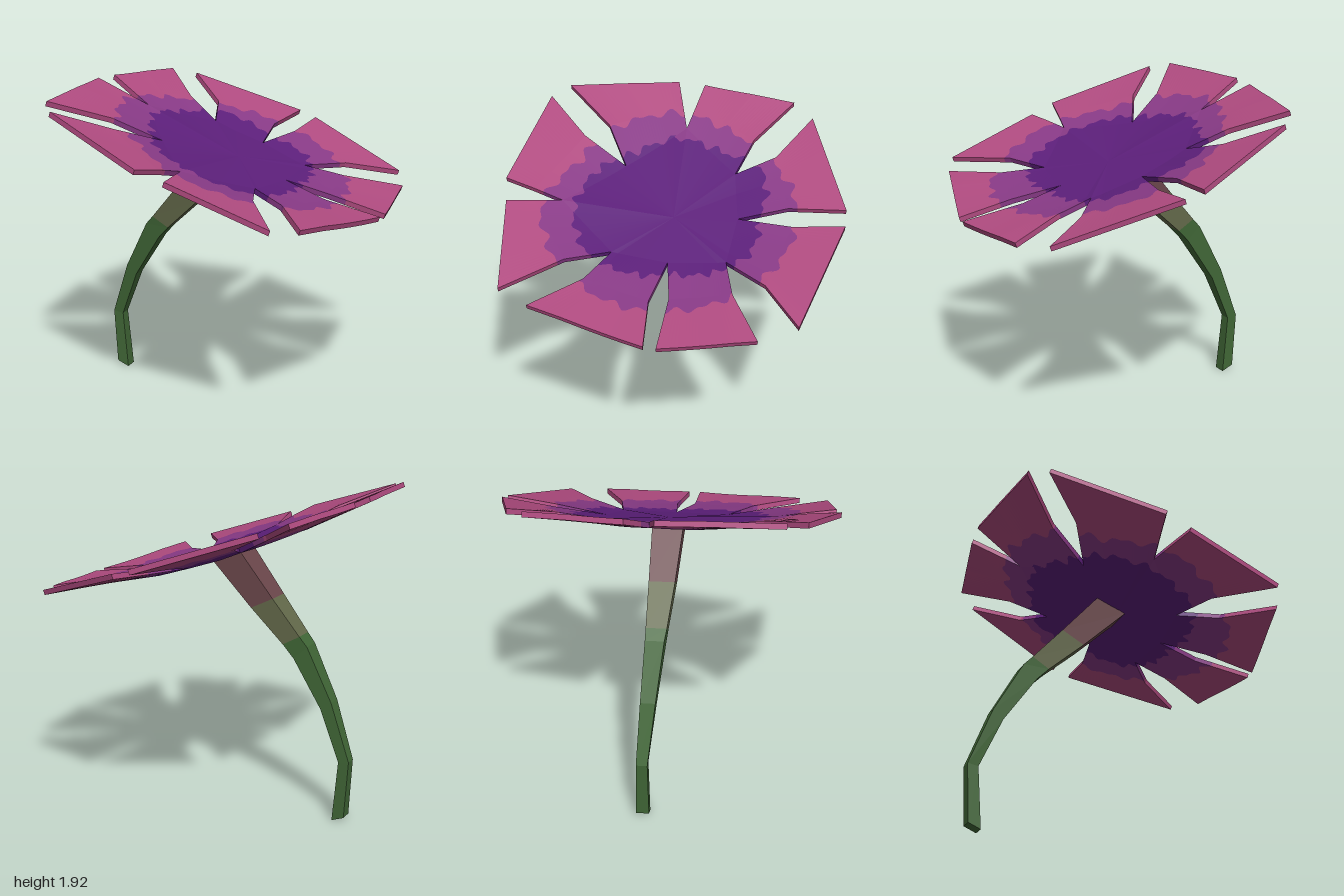
import * as THREE from 'three';

const mat = (name, color) => {
  const m = new THREE.MeshStandardMaterial({ color, flatShading: true });
  m.name = name;
  return m;
};

// Collects quads into a flat-shaded mesh, skipping collapsed triangles
class QuadMesh {
  constructor() { this.positions = []; }
  tri(a, b, c) {
    const n = b.clone().sub(a).cross(c.clone().sub(a));
    if (n.length() < 1e-9) return;
    for (const p of [a, b, c]) this.positions.push(p.x, p.y, p.z);
  }
  quad(a, b, c, d) { this.tri(a, b, c); this.tri(a, c, d); }
  build(name, material) {
    const g = new THREE.BufferGeometry();
    g.setAttribute('position', new THREE.Float32BufferAttribute(this.positions, 3));
    g.computeVertexNormals();
    const mesh = new THREE.Mesh(g, material);
    mesh.name = name;
    return mesh;
  }
}

// Notches between the petals, clockwise from the back, as [x, z]
const NOTCHES = [[0, -0.37], [0.3, -0.31], [0.31, 0.02], [0.25, 0.34],
  [-0.06, 0.65], [-0.35, 0.3], [-0.62, -0.05], [-0.31, -0.35]];
// Each petal: first knee, first tip, second tip, second knee
const PETALS = [
  [[0.09, -0.68], [0.12, -0.98], [0.78, -0.71], [0.49, -0.53]],
  [[0.54, -0.35], [0.87, -0.49], [0.93, 0.05], [0.57, 0]],
  [[0.59, 0.11], [0.92, 0.12], [0.69, 0.77], [0.47, 0.48]],
  [[0.35, 0.6], [0.59, 0.94], [0, 0.97], [-0.03, 0.81]],
  [[-0.11, 0.82], [-0.16, 0.99], [-0.79, 0.79], [-0.52, 0.56]],
  [[-0.61, 0.42], [-0.88, 0.68], [-0.93, 0.01], [-0.775, -0.02]],
  [[-0.765, -0.1], [-0.91, -0.15], [-0.78, -0.7], [-0.53, -0.46]],
  [[-0.4, -0.59], [-0.66, -0.81], [0.01, -0.99], [-0.04, -0.66]],
];
// Radii of the dark heart and the halo, every 30 degrees from +x towards +z
const HEART = [0.39, 0.46, 0.56, 0.58, 0.56, 0.51, 0.55, 0.53, 0.6, 0.5, 0.51, 0.44];
const HALO = [0.66, 0.7, 0.74, 0.77, 0.67, 0.71, 0.72, 0.67, 0.68, 0.72, 0.69, 0.65];
const COLUMNS = 28;
const DROP = new THREE.Vector3(-0.01, -0.029, 0);

const lerp2 = (a, b, t) => [a[0] + (b[0] - a[0]) * t, a[1] + (b[1] - a[1]) * t];

// Wavy edge of a colour zone at a given angle
function zoneRadius(table, angle) {
  const k = ((angle / (Math.PI * 2) + 1) % 1) * table.length;
  const i = Math.floor(k) % table.length;
  const base = THREE.MathUtils.lerp(table[i], table[(i + 1) % table.length], k - Math.floor(k));
  return base + 0.016 * Math.sin(23 * angle) + 0.014 * Math.sin(37 * angle + 1);
}

// Tilted shallow dish
function onDish([x, z]) {
  const sink = 0.16 * (0.95 - THREE.MathUtils.clamp(Math.hypot(x, z), 0.4, 0.95));
  return new THREE.Vector3(x, 1.605 - 0.339 * x - sink, z);
}

function createBloom(materials) {
  const zones = materials.map(() => new QuadMesh());
  PETALS.forEach(([kneeA, tipA, tipB, kneeB], p) => {
    // A column runs from the centre through notch line and knee line to the tip
    const columns = [];
    for (let i = 0; i <= COLUMNS; i++) {
      const s = i / COLUMNS;
      const path = [[0, 0], lerp2(NOTCHES[p], NOTCHES[(p + 1) % 8], s),
        lerp2(kneeA, kneeB, s), lerp2(tipA, tipB, s)];
      const flat = (u) => {
        const k = Math.min(2, Math.floor(u));
        return lerp2(path[k], path[k + 1], u - k);
      };
      const at = (u) => {
        const k = Math.min(2, Math.floor(u));
        return onDish(path[k]).lerp(onDish(path[k + 1]), u - k);
      };
      const crossing = (table) => {
        let lo = 0, hi = 3;
        for (let n = 0; n < 30; n++) {
          const mid = (lo + hi) / 2, [x, z] = flat(mid);
          if (Math.hypot(x, z) < zoneRadius(table, Math.atan2(z, x))) lo = mid;
          else hi = mid;
        }
        return lo;
      };
      columns.push({ at, cuts: [0, crossing(HEART), crossing(HALO), 3] });
    }
    const under = (v) => v.clone().add(DROP);
    for (let i = 0; i < COLUMNS; i++) {
      const A = columns[i], B = columns[i + 1];
      zones.forEach((mesh, zone) => {
        for (let seg = 0; seg < 3; seg++) {
          const pick = (c, n) => c.at(THREE.MathUtils.clamp(c.cuts[n], seg, seg + 1));
          const a0 = pick(A, zone), a1 = pick(A, zone + 1);
          const b0 = pick(B, zone), b1 = pick(B, zone + 1);
          mesh.quad(a0, b0, b1, a1);
          mesh.quad(under(a0), under(a1), under(b1), under(b0));
          // Side walls and outer rim
          if (seg > 0 && i === 0) mesh.quad(a0, a1, under(a1), under(a0));
          if (seg > 0 && i === COLUMNS - 1) mesh.quad(b1, b0, under(b0), under(b1));
          if (seg === 2 && zone === 2) mesh.quad(a1, b1, under(b1), under(a1));
        }
      });
    }
  });
  const bloom = new THREE.Group();
  bloom.name = 'bloom';
  const names = ['flowerHeart', 'flowerHalo', 'petalTips'];
  zones.forEach((mesh, i) => bloom.add(mesh.build(names[i], materials[i])));
  return bloom;
}

// Stem rings: outer x, y, inner x, y, front z, back z
const STEM = [
  [-0.885, 0.03, -0.81, 0, -0.035, -0.11],
  [-0.905, 0.38, -0.84, 0.37, -0.04, -0.105],
  [-0.78, 0.72, -0.715, 0.67, -0.005, -0.092],
  [-0.615, 1.03, -0.53, 0.95, 0.03, -0.08],
  [-0.565, 1.085, -0.46, 1.025, 0.04, -0.08],
  [-0.39, 1.29, -0.25, 1.22, 0.07, -0.08],
  [-0.17, 1.555, 0.02, 1.49, 0.1, -0.08],
];

function createStem(sections) {
  const rings = STEM.map(([xa, ya, xb, yb, zf, zb]) => [
    new THREE.Vector3(xa, ya, zf), new THREE.Vector3(xb, yb, zf),
    new THREE.Vector3(xb, yb, zb), new THREE.Vector3(xa, ya, zb)]);
  const stem = new THREE.Group();
  stem.name = 'stem';
  for (const { name, from, to, material } of sections) {
    const mesh = new QuadMesh();
    for (let r = from; r < to; r++) {
      for (let k = 0; k < 4; k++) {
        const n = (k + 1) % 4;
        mesh.quad(rings[r][k], rings[r][n], rings[r + 1][n], rings[r + 1][k]);
      }
    }
    // Cut end at the ground
    if (from === 0) mesh.quad(...rings[0].slice().reverse());
    stem.add(mesh.build(name, material));
  }
  return stem;
}

export function createModel() {
  const model = new THREE.Group();
  model.name = 'flower';
  model.add(createBloom([mat('deep purple', 0x5c1f7a), mat('plum', 0x883a86), mat('rose pink', 0xb04b80)]));
  model.add(createStem([
    { name: 'lowerStem', from: 0, to: 4, material: mat('leaf green', 0x406636) },
    { name: 'middleStem', from: 4, to: 5, material: mat('olive', 0x63694a) },
    { name: 'upperStem', from: 5, to: 6, material: mat('dusky brown', 0x6b474b) },
  ]));
  return model;
}
